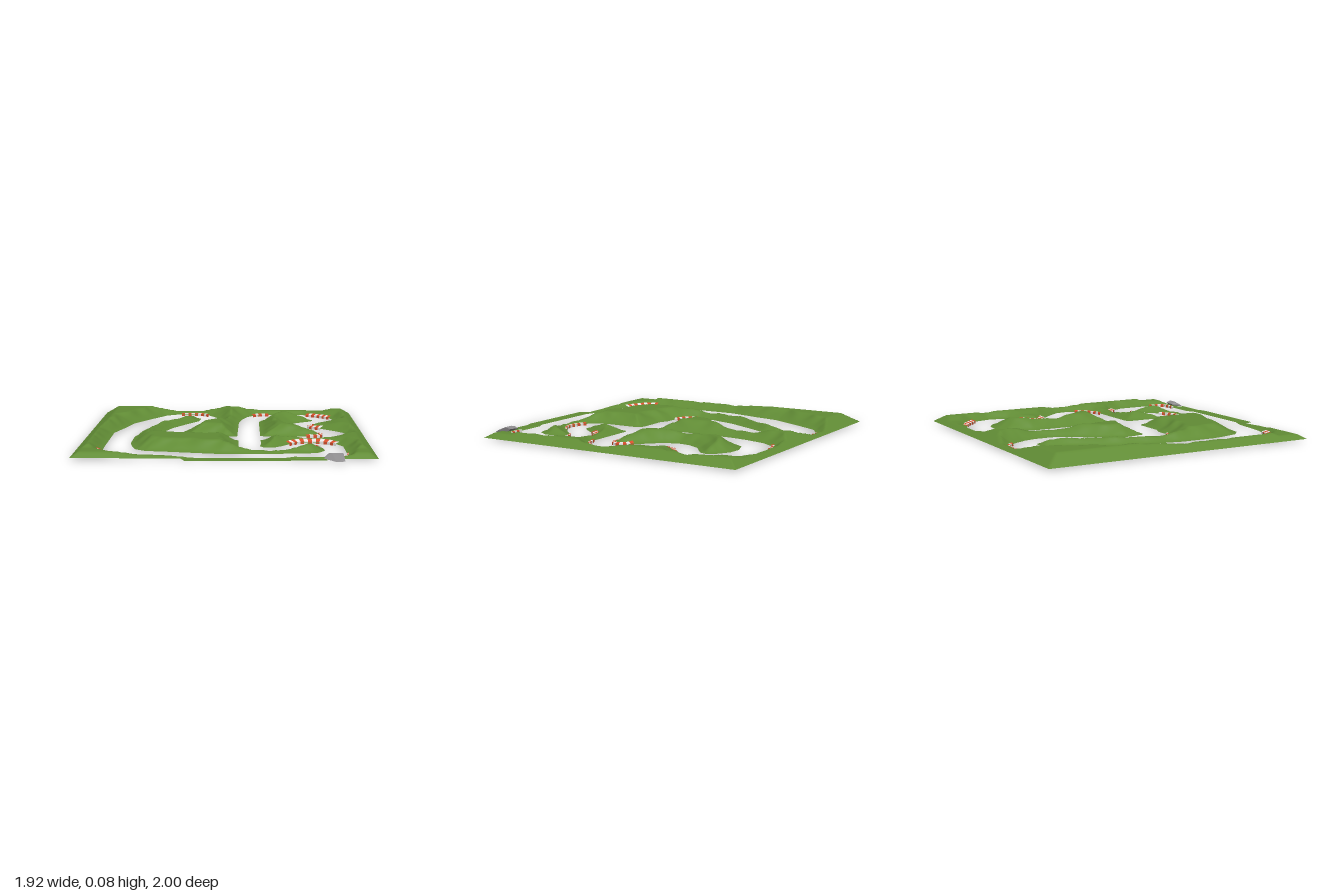
import * as THREE from 'three';
import { mergeVertices } from 'three/addons/utils/BufferGeometryUtils.js';
import { ConvexGeometry } from 'three/addons/geometries/ConvexGeometry.js';

const material = (name, color) => {
  const m = new THREE.MeshStandardMaterial({ color, side: THREE.DoubleSide });
  m.name = name;
  return m;
};

// Edges of the open track as x, z pairs in hundredths of a unit
const outerEdge = [
  -36, -92, -21, -91, -14, -85, -8, -74, -6, -66, -6, -53, -13, -40, -26, -21, -30, -8, -28, 5, -24, 7, -8, 7,
  -2, 10, 8, 11, 9, -50, 11, -63, 15, -77, 21, -86, 29, -89, 58, -89, 67, -84, 78, -74, 81, -62, 79, -50,
  70, -45, 61, -37, 59, -31, 68, -23, 77, -13, 83, -5, 84, 4, 81, 13, 74, 20, 66, 23, 27, 23, 24, 26,
  24, 40, 23, 49, 26, 54, 32, 54, 37, 49, 43, 41, 49, 35, 58, 33, 67, 35, 74, 40, 78, 49, 78, 77,
  76, 85, 71, 87, 42, 87, 37, 90, -18, 90, -29, 86, -55, 83, -69, 78, -78, 69, -79, 58, -79, -3, -73, -26,
  -69, -45, -58, -66, -47, -85];
const leftInfield = [
  -31, -73, -23, -73, -20, -69, -21, -57, -28, -45, -39, -24, -45, -5, -46, 8, -42, 16, -33, 20, -24, 20,
  -17, 23, 5, 23, 9, 27, 9, 50, 11, 60, 19, 67, 29, 69, 38, 66, 48, 58, 56, 49, 61, 47, 64, 55, 65, 64,
  60, 72, 53, 74, 40, 74, 35, 77, -2, 77, -16, 74, -39, 69, -51, 67, -58, 61, -61, 50, -63, 40, -63, 13,
  -61, 5, -60, -8, -57, -21, -52, -37, -42, -50, -37, -63];
const rightInfield = [
  24, -53, 27, -62, 32, -70, 43, -74, 53, -73, 61, -68, 65, -62, 63, -57, 51, -48, 46, -39, 45, -30, 49, -20,
  58, -11, 66, -2, 68, 4, 65, 9, 58, 11, 27, 11, 24, 8];

const pointsOf = (pairs) => {
  const pts = [];
  for (let i = 0; i < pairs.length; i += 2) pts.push(new THREE.Vector3(pairs[i] / 100, 0, pairs[i + 1] / 100));
  return pts;
};
const loops = [outerEdge, leftInfield, rightInfield].map(pointsOf);

// Signed distance to the track edge: positive on grass, negative on the open track
function edgeDistance(x, z) {
  let best = 9, onTrack = false;
  for (const loop of loops) {
    for (let i = 0, j = loop.length - 1; i < loop.length; j = i++) {
      const a = loop[j], b = loop[i], dx = b.x - a.x, dz = b.z - a.z;
      const t = THREE.MathUtils.clamp(((x - a.x) * dx + (z - a.z) * dz) / (dx * dx + dz * dz), 0, 1);
      best = Math.min(best, Math.hypot(x - a.x - t * dx, z - a.z - t * dz));
      if ((a.z > z) !== (b.z > z) && x < a.x + ((z - a.z) / dz) * dx) onTrack = !onTrack;
    }
  }
  return onTrack ? -best : best;
}

// Banks start gently at the track, then rise to a plateau that is lower at the front and right
function grassHeight(x, z, d) {
  const { smoothstep } = THREE.MathUtils;
  const border = Math.min(x + 0.96, 0.96 - x, z + 1, 0.92 - z);
  const capX = 0.07 - 0.042 * smoothstep(x, 0.42, 0.64) + 0.022 * smoothstep(x, 0.72, 0.84);
  const capZ = 0.07 - 0.038 * smoothstep(z, 0.64, 0.74);
  const bumps = 1 + 0.18 * Math.sin(x * 23 + 2 * Math.sin(z * 11)) * Math.sin(z * 19 + 1.5 * Math.sin(x * 13));
  const bank = Math.max(Math.min(d, 0.025), 0) * 0.2 + Math.max(d - 0.025, 0) * 0.65 * bumps;
  return 0.012 + Math.min(bank, Math.max(border, 0) * 0.65, capX, capZ);
}

function geometryOf(pos) {
  const g = new THREE.BufferGeometry();
  g.setAttribute('position', new THREE.Float32BufferAttribute(pos, 3));
  return g;
}

// Grid of grass, each triangle clipped along the track edge
function grassGeometry() {
  const n = 128, size = 1.92, grid = [], pos = [];
  for (let j = 0; j <= n; j++) {
    for (let i = 0; i <= n; i++) {
      const x = -0.96 + (size * i) / n, z = -1 + (size * j) / n, d = edgeDistance(x, z);
      grid.push({ x, z, d, y: grassHeight(x, z, d) });
    }
  }
  const clip = (tri) => {
    const out = [];
    tri.forEach((a, k) => {
      const b = tri[(k + 1) % 3];
      if (a.d >= 0) out.push(a);
      if ((a.d >= 0) !== (b.d >= 0)) {
        const t = a.d / (a.d - b.d);
        out.push({ x: a.x + t * (b.x - a.x), z: a.z + t * (b.z - a.z), y: 0.012 });
      }
    });
    for (let k = 2; k < out.length; k++) {
      for (const p of [out[0], out[k - 1], out[k]]) pos.push(p.x, p.y, p.z);
    }
  };
  for (let j = 0; j < n; j++) {
    for (let i = 0; i < n; i++) {
      const a = grid[j * (n + 1) + i], b = grid[j * (n + 1) + i + 1];
      const c = grid[(j + 1) * (n + 1) + i], e = grid[(j + 1) * (n + 1) + i + 1];
      clip([a, c, b]);
      clip([b, c, e]);
    }
  }
  const merged = mergeVertices(geometryOf(pos), 1e-5);
  merged.computeVertexNormals();
  return merged;
}

// Kerbs: width in units, then x, z pairs in hundredths
const kerbs = [
  [0.015, [-36, -92, -29, -92, -21, -91, -15, -86]],
  [0.02, [20, -85, 25, -88, 32, -89]],
  [0.03, [61, -87, 67, -84, 78, -74]],
  [0.035, [69, -44, 61, -37, 59, -31, 68, -23]],
  [0.025, [61, -6, 66, -2, 68, 4, 65, 9, 56, 11]],
  [0.012, [83, 10, 81, 13, 74, 20, 65, 23]],
  [0.015, [-46, 8, -42, 16, -33, 20]],
  [0.034, [43, 41, 49, 35, 58, 33, 67, 35, 74, 41]],
  [0.014, [16, 65, 19, 67, 29, 69, 38, 66, 43, 62]],
  [0.012, [56, 49, 61, 47, 63, 49]],
  [0.034, [-79, 65, -78, 69, -69, 78, -61, 81]],
  [0.012, [78, 75, 76, 85, 71, 87, 62, 87]],
];

// Alternating blocks, each a nearly flat top on the grass side and a wall facing the track
function kerbPositions() {
  const stripes = [[], []];
  for (const [width, pairs] of kerbs) {
    const curve = new THREE.CatmullRomCurve3(pointsOf(pairs), false, 'centripetal');
    const n = Math.ceil(curve.getLength() / 0.026);
    const rows = [];
    for (let i = 0; i <= n; i++) {
      const p = curve.getPointAt(i / n), t = curve.getTangentAt(i / n);
      const side = edgeDistance(p.x - t.z * 0.02, p.z + t.x * 0.02) > edgeDistance(p.x + t.z * 0.02, p.z - t.x * 0.02) ? 1 : -1;
      const x = p.x - t.z * side * width, z = p.z + t.x * side * width;
      const y = grassHeight(x, z, edgeDistance(x, z)) + 0.006;
      rows.push({ side, foot: [p.x, 0, p.z], inner: [p.x, 0.018, p.z], outer: [x, y, z] });
    }
    for (let i = 0; i < n; i++) {
      const a = rows[i], b = rows[i + 1];
      const quad = (p, q, r, s) => (a.side > 0 ? [p, q, r, r, q, s] : [p, r, q, q, r, s]);
      stripes[i % 2].push(
        ...quad(a.inner, a.outer, b.inner, b.outer).flat(),
        ...quad(a.foot, a.inner, b.foot, b.inner).flat());
    }
  }
  return stripes;
}

export function createModel() {
  const model = new THREE.Group();
  model.name = 'raceTrack';
  const grass = material('grassGreen', 0x618c35);
  const red = material('kerbRed', 0xd84e2c);
  const pale = material('kerbPale', 0xf0eeec);
  const grey = material('stoneGrey', 0x8d8b8d);
  const add = (name, geometry, mat) => {
    const mesh = new THREE.Mesh(geometry, mat);
    mesh.name = name;
    model.add(mesh);
  };

  add('grass', grassGeometry(), grass);

  // Low grass verge beyond the front border
  const verge = new THREE.Shape([[-0.27, 0.92], [-0.24, 1], [0.37, 1], [0.43, 0.98], [0.64, 0.98], [0.64, 0.92]]
    .map(([x, z]) => new THREE.Vector2(x, -z)));
  add('frontVerge', new THREE.ShapeGeometry(verge).rotateX(-Math.PI / 2).translate(0, 0.012, 0), grass);

  // Kerbs with flat-shaded blocks
  const [redBlocks, paleBlocks] = kerbPositions().map((pos) => {
    const g = geometryOf(pos);
    g.computeVertexNormals();
    return g;
  });
  add('redKerbBlocks', redBlocks, red);
  add('paleKerbBlocks', paleBlocks, pale);

  // Slanted, rough stone slab at the front corner
  const corners = [
    [0.62, 0.018, 0.945], [0.63, 0.03, 0.92], [0.69, 0.008, 1], [0.745, 0.01, 1], [0.745, 0.024, 0.98],
    [0.65, 0.045, 0.91], [0.65, 0.034, 0.88], [0.73, 0.038, 0.88], [0.74, 0.05, 0.92], [0.67, 0.05, 0.92],
    [0.64, 0.016, 0.91], [0.73, 0.016, 0.91]];
  add('stoneSlab', new ConvexGeometry(corners.map((c) => new THREE.Vector3(...c))), grey);

  return model;
}
